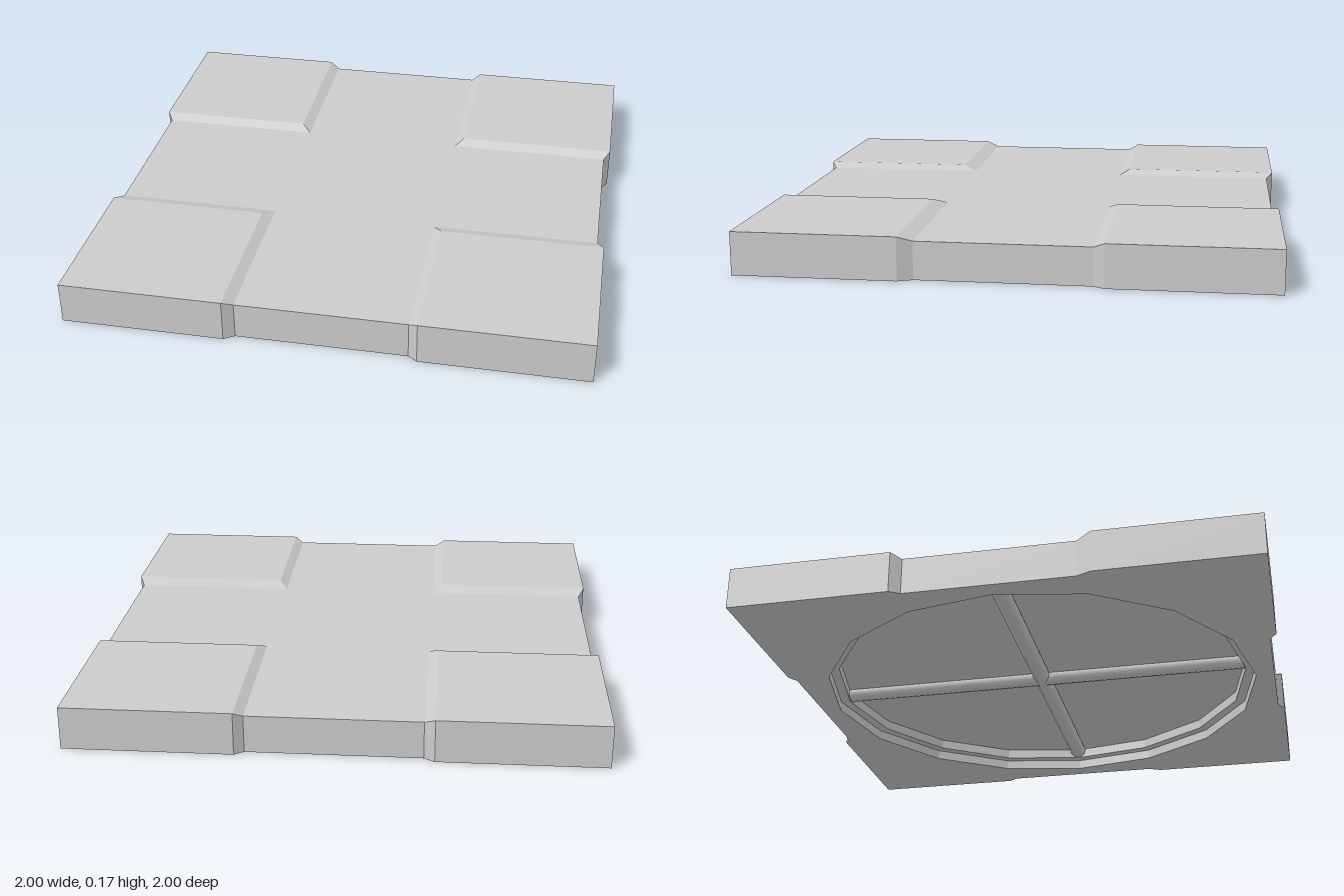
import * as THREE from 'three';

const mat = new THREE.MeshStandardMaterial({ color: 0xcccccc, flatShading: true });
const smoothMat = new THREE.MeshStandardMaterial({ color: 0xcccccc });

const ROAD_Y = 0.145, TOP_Y = 0.165, SIDE = 0.975;
const LEDGE_Y = 0.04, FLOOR_Y = 0.08, OUTER_R = 0.9, INNER_R = 0.86;

// flat surface at height y, from an [x, z] loop with optional holes
function cap(out, loop, y, up, holes = []) {
  const v = (l) => l.map(([x, z]) => new THREE.Vector2(x, z));
  const contour = v(loop), hs = holes.map(v);
  const all = [contour, ...hs].flat();
  for (const [a, b, c] of THREE.ShapeUtils.triangulateShape(contour, hs)) {
    const positive = THREE.ShapeUtils.area([all[a], all[b], all[c]]) > 0;
    const order = positive === up ? [a, c, b] : [a, b, c];
    for (const i of order) out.push(all[i].x, y, all[i].y);
  }
}

// wall between two matching loops; it faces outward when they run from +x to +z
function band(out, a, ya, b, yb) {
  a.forEach((p, i) => {
    const j = (i + 1) % a.length, q = a[j], r = b[i], s = b[j];
    out.push(p[0], ya, p[1], r[0], yb, r[1], q[0], ya, q[1]);
    out.push(q[0], ya, q[1], r[0], yb, r[1], s[0], yb, s[1]);
  });
}

function mesh(name, positions) {
  const g = new THREE.BufferGeometry();
  g.setAttribute('position', new THREE.Float32BufferAttribute(positions, 3));
  g.computeVertexNormals();
  const m = new THREE.Mesh(g, mat);
  m.name = name;
  return m;
}

const circle = (r, n = 16) => Array.from({ length: n }, (_, i) => {
  const t = (i / n) * Math.PI * 2;
  return [r * Math.cos(t), r * Math.sin(t)];
});

// one raised corner: foot loop at road height and bevelled top loop
function corner(sx, sz) {
  const xi = sx > 0 ? 0.325 : 0.33, xo = sx > 0 ? 0.36 : 0.37;
  const zi = sz > 0 ? 0.325 : 0.33, zo = sz > 0 ? 0.38 : 0.37;
  const foot = [[xi, zi], [SIDE, zi], [1, zo], [1, 1], [xo, 1], [xi, SIDE]];
  const top = [[xo, zo], [1, zo], [1, zo], [1, 1], [xo, 1], [xo, 1]];
  const place = (l) => {
    const p = l.map(([x, z]) => [x * sx, z * sz]);
    return sx * sz < 0 ? p.reverse() : p;
  };
  return { foot: place(foot), top: place(top), inner: [xi * sx, zi * sz], wall: place(foot.slice(1)) };
}

export function createModel() {
  const group = new THREE.Group();
  const corners = [[1, 1], [-1, 1], [-1, -1], [1, -1]].map(([x, z]) => corner(x, z));

  // base plate: notched sides and cross-shaped lowered top
  const outline = corners.flatMap((c) => c.wall);
  const cross = corners.flatMap((c) => [c.wall[0], c.inner, c.wall[4]]);
  const body = [];
  band(body, outline, 0, outline, ROAD_Y);
  cap(body, cross, ROAD_Y, true);
  cap(body, outline, 0, false, [circle(OUTER_R)]);
  group.add(mesh('basePlate', body));

  // stepped round recess underneath
  const recess = [];
  const outer = circle(OUTER_R).reverse(), inner = circle(INNER_R).reverse();
  band(recess, outer, 0, outer, LEDGE_Y);
  cap(recess, outer, LEDGE_Y, false, [inner]);
  band(recess, inner, LEDGE_Y, inner, FLOOR_Y);
  cap(recess, inner, FLOOR_Y, false);
  group.add(mesh('undersideRecess', recess));

  // raised corner blocks
  const names = ['frontLeft', 'frontRight', 'backRight', 'backLeft'];
  corners.forEach((c, i) => {
    const block = [];
    band(block, c.foot, ROAD_Y, c.top, TOP_Y);
    // skip the doubled corner points on the flat top
    const top = c.top.filter((p, k) => k === 0 || p[0] !== c.top[k - 1][0] || p[1] !== c.top[k - 1][1]);
    cap(block, top, TOP_Y, true);
    group.add(mesh(names[i] + 'Block', block));
  });

  // crossed rods inside the recess
  for (const axis of ['x', 'z']) {
    const rod = new THREE.Mesh(new THREE.CylinderGeometry(0.035, 0.035, 1.71, 12), smoothMat);
    if (axis === 'x') rod.rotation.z = Math.PI / 2;
    else rod.rotation.x = Math.PI / 2;
    rod.position.y = 0.075;
    rod.name = axis === 'x' ? 'crosswiseRod' : 'lengthwiseRod';
    group.add(rod);
  }
  return group;
}
